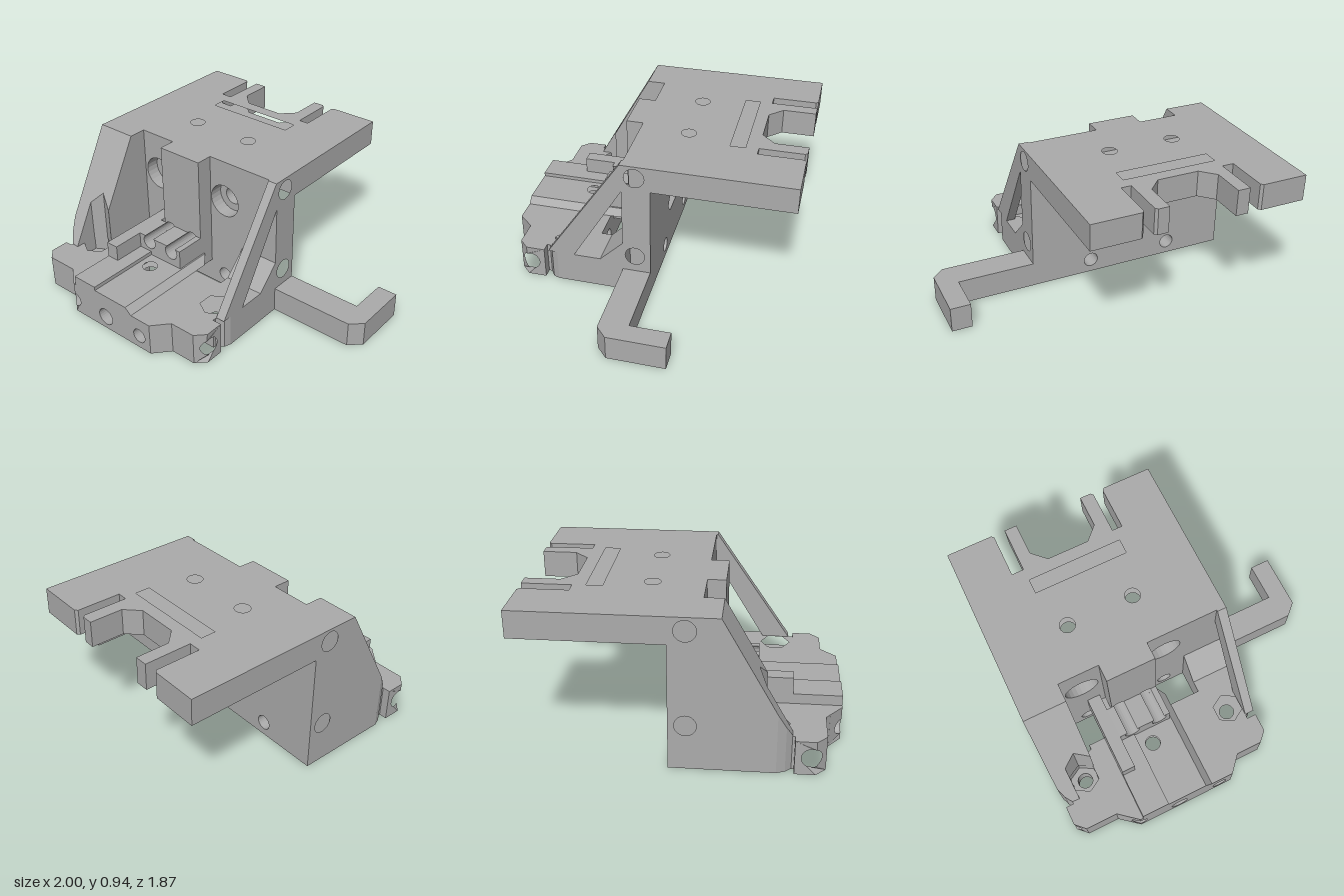
import * as THREE from 'three';

export function createModel() {
  const model = new THREE.Group();
  const grey = new THREE.MeshStandardMaterial({ color: 0xababab });
  grey.name = 'grey plastic';

  // --- helpers -----------------------------------------------------------
  const ring = (cx, cy, r, n = 24, turn = 0) => Array.from({ length: n }, (_, i) => {
    const a = turn + (i / n) * Math.PI * 2;
    return [cx + r * Math.cos(a), cy + r * Math.sin(a)];
  });
  const hex = (cx, cy, r) => ring(cx, cy, r, 6, Math.PI / 2);
  const rect = (a0, b0, a1, b1) => [[a0, b0], [a1, b0], [a1, b1], [a0, b1]];

  // Extrude an outline along an axis; rule may then move each vertex.
  // Outline coordinates: axis x -> (z, y), axis y -> (x, z), axis z -> (x, y).
  function extrude(name, axis, from, to, outline, holes = [], rule = null) {
    const toVec = ([a, b]) => new THREE.Vector2(axis === 'x' ? -a : a, axis === 'y' ? -b : b);
    const shape = new THREE.Shape(outline.map(toVec));
    shape.holes = holes.map(h => new THREE.Path(h.map(toVec)));
    const geo = new THREE.ExtrudeGeometry(shape, { depth: to - from, bevelEnabled: false });
    geo.translate(0, 0, from);
    if (axis === 'x') geo.rotateY(Math.PI / 2);
    if (axis === 'y') geo.rotateX(-Math.PI / 2);
    if (rule) {
      const p = geo.attributes.position;
      const v = new THREE.Vector3();
      for (let i = 0; i < p.count; i++) {
        rule(v.fromBufferAttribute(p, i));
        p.setXYZ(i, v.x, v.y, v.z);
      }
      geo.computeVertexNormals();
    }
    const mesh = new THREE.Mesh(geo, grey);
    mesh.name = name;
    model.add(mesh);
  }
  const box = (name, x0, y0, z0, x1, y1, z1) => extrude(name, 'z', z0, z1, rect(x0, y0, x1, y1));

  const BASE = 0.215, TOP = 0.94, BACK = -0.06, FACE = 0.12;

  // --- top plate: nut pockets below, bolt holes, shallow slot above --------
  const plate = [[-1, BACK], [-1, -0.935], [-0.71, -0.935], [-0.695, -0.92], [-0.695, -0.64],
    [-0.62, -0.64], [-0.62, -0.935], [-0.54, -0.935], [-0.54, -0.725], [-0.455, -0.64],
    [-0.19, -0.64], [-0.105, -0.725], [-0.105, -0.935], [-0.035, -0.935], [-0.02, -0.92],
    [-0.02, -0.64], [0.045, -0.64], [0.045, -0.92], [0.06, -0.935], [0.37, -0.935], [0.37, BACK]];
  const bolts = [-0.53, -0.1];
  const boltHoles = bolts.map(x => ring(x, -0.19, 0.048));
  extrude('topPlateUnderside', 'y', 0.775, 0.84, plate, bolts.map(x => hex(x, -0.19, 0.09)));
  extrude('topPlateCore', 'y', 0.84, 0.87, plate, boltHoles);
  extrude('topPlateSurface', 'y', 0.87, TOP, plate, [...boltHoles, rect(-0.615, -0.56, -0.01, -0.465)]);

  // --- back wall: counterbored holes and a shared nut slot at the rear -----
  const wall = rect(-0.83, 0, 0.2, TOP);
  const upper = r => [-0.605, -0.04].map(x => ring(x, 0.66, r));
  const lower = [-0.61, -0.04].map(x => ring(x, 0.09, 0.048));
  const rods = [-0.42, -0.23].map(x => ring(x, 0.35, 0.05));
  const nutSlot = [[-0.54, 0.35], [-0.49, 0.29], [-0.16, 0.29], [-0.11, 0.35], [-0.16, 0.41], [-0.49, 0.41]];
  extrude('wallRear', 'z', BACK, 0.03, wall, [...upper(0.06), ...lower, nutSlot]);
  extrude('wallFront', 'z', 0.03, FACE, wall, [...upper(0.11), ...lower, ...rods]);
  const sideHoles = [0.86, 0.28].map(y => ring(0.04, y, 0.063));
  for (const [name, x0, x1] of [['wallRightEnd', -1, -0.83], ['wallLeftEnd', 0.2, 0.37]]) {
    extrude(name, 'x', x0, x1, rect(BACK, 0, FACE, TOP), sideHoles);
  }

  // --- centre pillar and rod clip ------------------------------------------
  extrude('pillar', 'z', FACE, 0.23, rect(-0.47, 0.2, -0.155, TOP), rods);
  const groove = cx => Array.from({ length: 17 }, (_, i) => {
    const a = Math.PI * 0.75 + (i / 16) * Math.PI * 1.5;
    return [cx + 0.05 * Math.cos(a), 0.35 + 0.05 * Math.sin(a)];
  });
  extrude('rodClip', 'z', 0.23, 0.43, [[-0.505, 0.25], [-0.505, 0.385], ...groove(-0.42),
    ...groove(-0.23), [-0.155, 0.385], [-0.155, 0.25]]);
  box('clipRail', -0.59, 0.2, FACE, -0.505, 0.385, 0.64);
  box('bridge', -0.59, 0.16, FACE, -0.155, 0.27, 0.34);

  // --- solid gusset on the -x side, its top cut to the slope ---------------
  box('rightGussetBack', -1, BASE, FACE, -0.73, TOP, 0.235);
  extrude('rightGussetSlope', 'y', BASE, TOP, [[-1, 0.235], [-0.73, 0.235], [-0.73, 0.485],
    [-0.818, 0.44], [-0.9, 0.485], [-0.9, 0.638], [-0.95, 0.635], [-0.98, 0.6], [-1, 0.55]], [],
    v => { if (v.y > 0.5) v.y = TOP - (v.z - 0.235) * 1.79; });

  // --- open brace and small wedge on the +x side ---------------------------
  extrude('leftBrace', 'x', 0.31, 0.37, [[FACE, TOP], [0.13, TOP], [0.62, BASE], [0.445, BASE], [FACE, 0.755]]);
  extrude('leftWedge', 'x', 0.105, 0.37, [[FACE, 0.365], [0.27, BASE], [FACE, BASE]]);

  // --- base side portions with nut pockets ---------------------------------
  const sides = [
    ['baseRight', -0.818, [[-1, FACE], [-1, 0.55], [-0.98, 0.6], [-0.95, 0.635], [-0.95, 0.65],
      [-0.73, 0.65], [-0.73, 0.83], [-0.7, 0.855], [-0.7, 0.38], [-0.73, 0.39], [-0.73, FACE]]],
    ['baseLeft', 0.225, [[0.05, 0.34], [0.105, 0.34], [0.105, FACE], [0.37, FACE], [0.37, 0.56],
      [0.355, 0.6], [0.31, 0.63], [0.31, 0.65], [0.14, 0.65], [0.14, 0.83], [0.05, 0.93]]],
  ];
  for (const [name, x, plan] of sides) {
    extrude(name + 'Lower', 'y', 0, 0.12, plan, [ring(x, 0.53, 0.048)]);
    extrude(name + 'Upper', 'y', 0.12, BASE, plan, [hex(x, 0.53, 0.095)]);
  }

  // --- ears with side holes and chamfered corners --------------------------
  const ear = [[0.65, 0], [0.77, 0], [0.83, 0], [0.83, BASE], [0.77, BASE], [0.65, BASE]];
  const earHole = [ring(0.745, 0.11, 0.058)];
  extrude('rightEar', 'x', -1, -0.73, ear, earHole,
    v => { if (v.x < -0.9) v.x += Math.max(0, v.z - 0.77); });
  extrude('leftEar', 'x', 0.14, 0.37, ear, earHole,
    v => { if (v.x > 0.3) v.x -= Math.max(0, v.z - 0.77); });

  // --- base middle, bored from the front -----------------------------------
  extrude('baseBoreRight', 'z', 0.35, 0.93,
    [[-0.7, 0], [-0.61, 0], [-0.52, 0], [-0.52, BASE], [-0.61, BASE], [-0.7, BASE]], [lower[0]],
    v => { if (v.z > 0.6) v.z += Math.min(0, (v.x + 0.61) * 0.83); });
  extrude('baseBoreLeft', 'z', 0.34, 0.93, rect(-0.13, 0, 0.05, BASE), [lower[1]]);
  const screw = [ring(-0.325, 0.53, 0.048)];
  extrude('baseCentre', 'y', 0, BASE, rect(-0.52, 0.34, -0.13, 0.75), screw);
  extrude('baseFront', 'z', 0.75, 0.93, rect(-0.52, 0, -0.13, BASE), [ring(-0.33, 0.09, 0.058)]);

  // --- raised track on the base --------------------------------------------
  box('trackHigh', -0.59, BASE, 0.34, -0.41, 0.28, 0.93);
  extrude('trackLow', 'y', BASE, 0.255, rect(-0.41, 0.34, -0.145, 0.93), screw);
  extrude('trackBevel', 'z', 0.2, 0.93, [[-0.155, BASE], [-0.1, BASE], [-0.145, 0.255], [-0.155, 0.255]], [],
    v => { if (v.z < 0.5 && v.x > -0.12) v.z = 0.26; });

  // --- hooked arm at the side ----------------------------------------------
  extrude('hookArm', 'y', 0, 0.165, [[0.37, BACK], [0.87, BACK], [0.87, -0.315], [1, -0.315],
    [1, 0.05], [0.925, FACE], [0.37, FACE]]);

  return model;
}
